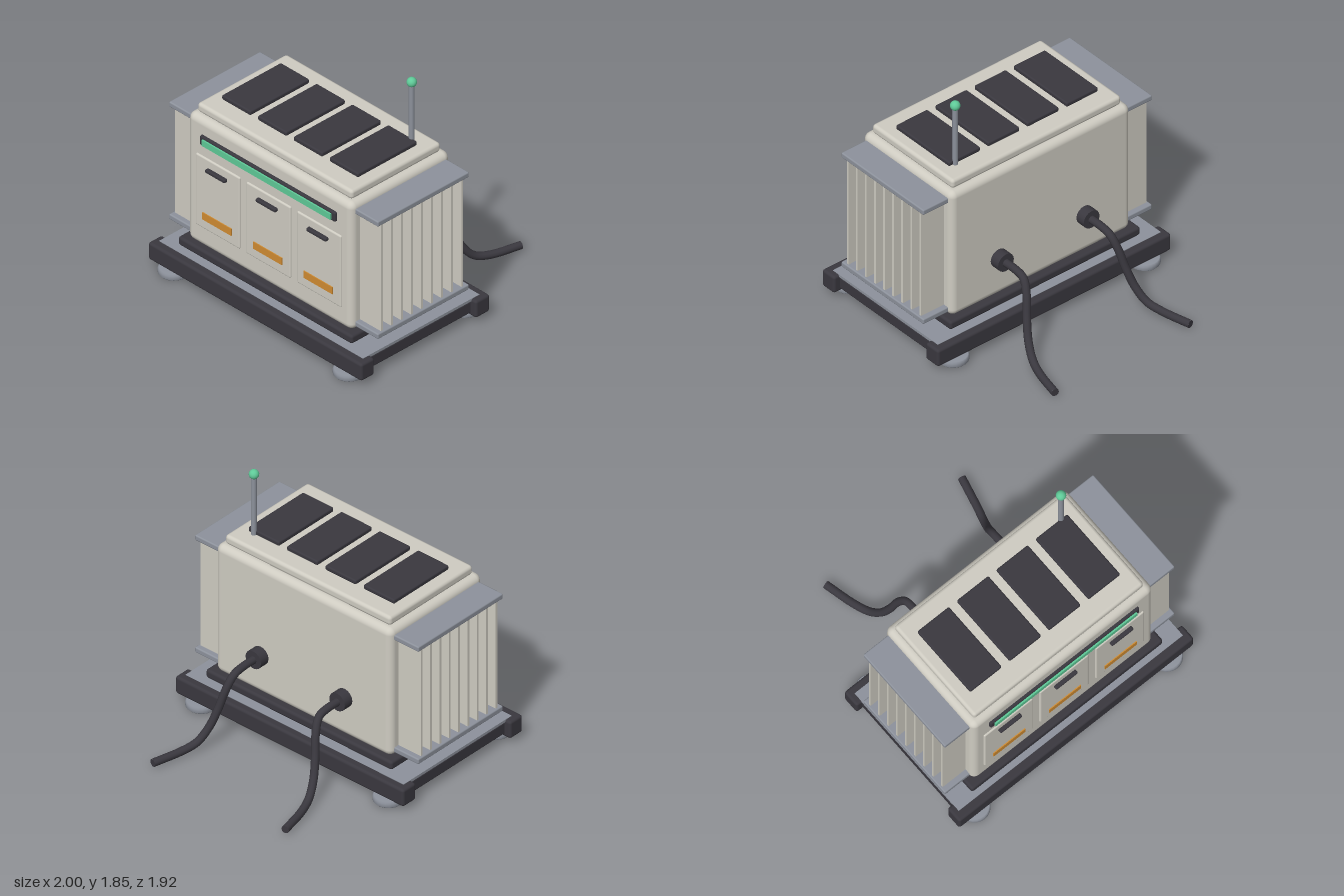
import * as THREE from 'three';
import { RoundedBoxGeometry } from 'three/addons/geometries/RoundedBoxGeometry.js';

const material = (name, color) => {
  const m = new THREE.MeshStandardMaterial({ color });
  m.name = name;
  return m;
};

export function createModel() {
  const shell = material('warm grey shell', 0xcfccc2);
  const dark = material('dark charcoal', 0x3a383f);
  const steel = material('blue grey steel', 0x8d929c);
  const teal = material('teal light', 0x5fca98);
  const amber = material('amber label', 0xd08c32);

  const model = new THREE.Group();
  model.name = 'powerUnit';
  const MID = 0.325; // depth centre of the cabinet and skid

  function add(name, geometry, mat, x, y, z) {
    const mesh = new THREE.Mesh(geometry, mat);
    mesh.name = name;
    mesh.position.set(x, y, z);
    model.add(mesh);
    return mesh;
  }
  // Box from its extents; bevel > 0 rounds the edges
  function block(name, mat, [x0, x1], [y0, y1], [z0, z1], bevel = 0, segments = 2) {
    const size = [x1 - x0, y1 - y0, z1 - z0];
    const geometry = bevel
      ? new RoundedBoxGeometry(...size, segments, bevel)
      : new THREE.BoxGeometry(...size);
    return add(name, geometry, mat, (x0 + x1) / 2, (y0 + y1) / 2, (z0 + z1) / 2);
  }
  const around = (centre, width) => [centre - width / 2, centre + width / 2];

  // Skid: two long rails, three cross beams, a deck plate and four feet
  block('frontRail', dark, [-1, 1], [0.05, 0.185], [0.79, 0.915], 0.02);
  block('rearRail', dark, [-1, 1], [0.05, 0.185], [-0.265, -0.135], 0.02);
  for (const x of [-0.9, 0, 0.9]) {
    block('crossBeam', dark, around(x, 0.1), [0.07, 0.168], [-0.16, 0.81], 0.015);
  }
  block('deckPlate', steel, [-0.955, 0.955], [0.168, 0.188], [-0.21, 0.855]);
  const footProfile = [[0, 0], [0.098, 0], [0.107, 0.01], [0.107, 0.038], [0.098, 0.048], [0, 0.048]]
    .map(([r, y]) => new THREE.Vector2(r, y));
  for (const x of [-0.82, 0.82]) {
    for (const z of [-0.205, 0.852]) {
      add('foot', new THREE.LatheGeometry(footProfile, 24), steel, x, 0.002, z);
    }
  }

  // Cabinet: plinth, body and roof cap
  block('plinth', dark, [-0.815, 0.815], [0.21, 0.277], around(MID, 0.995), 0.02);
  block('body', shell, [-0.77, 0.77], [0.265, 1.272], around(MID, 0.91), 0.05, 4);
  block('roofCap', shell, [-0.725, 0.725], [1.268, 1.34], around(MID, 0.82), 0.025);

  // Four roof panels
  for (let i = 0; i < 4; i++) {
    const x = (i - 1.5) * 0.336;
    block('roofPanel', dark, around(x, 0.27), [1.337, 1.373], [0.05, 0.593], 0.012);
  }

  // Antenna
  add('antennaRod', new THREE.CylinderGeometry(0.02, 0.02, 0.47, 10), steel, 0.587, 1.565, 0.05);
  add('antennaTip', new THREE.SphereGeometry(0.035, 16, 12), teal, 0.587, 1.815, 0.05);

  // Front light bar
  block('lightBarFrame', dark, [-0.635, 0.635], [1.08, 1.155], [0.76, 0.8], 0.012);
  block('lightBar', teal, [-0.603, 0.603], [1.092, 1.138], [0.79, 0.812]);

  // Three front doors with handle and label
  for (const x of [-0.474, 0, 0.474]) {
    block('door', shell, around(x, 0.415), [0.425, 0.99], [0.755, 0.792], 0.012);
    block('doorHandle', dark, around(x, 0.185), [0.9, 0.927], [0.785, 0.82], 0.01);
    block('doorLabel', amber, around(x, 0.27), [0.5, 0.555], [0.79, 0.799]);
  }

  // Side radiators: upright fins between two cap plates
  for (const side of [-1, 1]) {
    for (let i = 0; i < 9; i++) {
      const z = MID + (i - 4) * 0.092;
      block('radiatorFin', shell, around(side * 0.86, 0.21), [0.32, 1.2], around(z, 0.018));
    }
    for (const y of [0.315, 1.205]) {
      block('radiatorCap', steel, around(side * 0.865, 0.23), around(y, 0.042), around(MID, 0.835), 0.01);
    }
  }

  // Rear sockets with cables dropping to the ground
  const cablePoints = [
    [0.367, 0.57, -0.18], [0.367, 0.57, -0.3], [0.37, 0.55, -0.385], [0.39, 0.46, -0.44],
    [0.425, 0.3, -0.485], [0.458, 0.165, -0.54], [0.49, 0.075, -0.62], [0.525, 0.045, -0.73],
    [0.58, 0.04, -0.955],
  ];
  for (const side of [-1, 1]) {
    const socket = add('cableSocket', new THREE.CylinderGeometry(0.068, 0.068, 0.085, 16), dark, side * 0.367, 0.57, -0.162);
    socket.rotation.x = Math.PI / 2;
    const path = new THREE.CatmullRomCurve3(cablePoints.map(([x, y, z]) => new THREE.Vector3(side * x, y, z)));
    add('cable', new THREE.TubeGeometry(path, 48, 0.028, 10), dark, 0, 0, 0);
    // Flat end of the cable
    const end = add('cableEnd', new THREE.CircleGeometry(0.028, 10), dark, ...path.getPoint(1).toArray());
    end.lookAt(path.getPoint(1).add(path.getTangent(1)));
  }

  return model;
}
